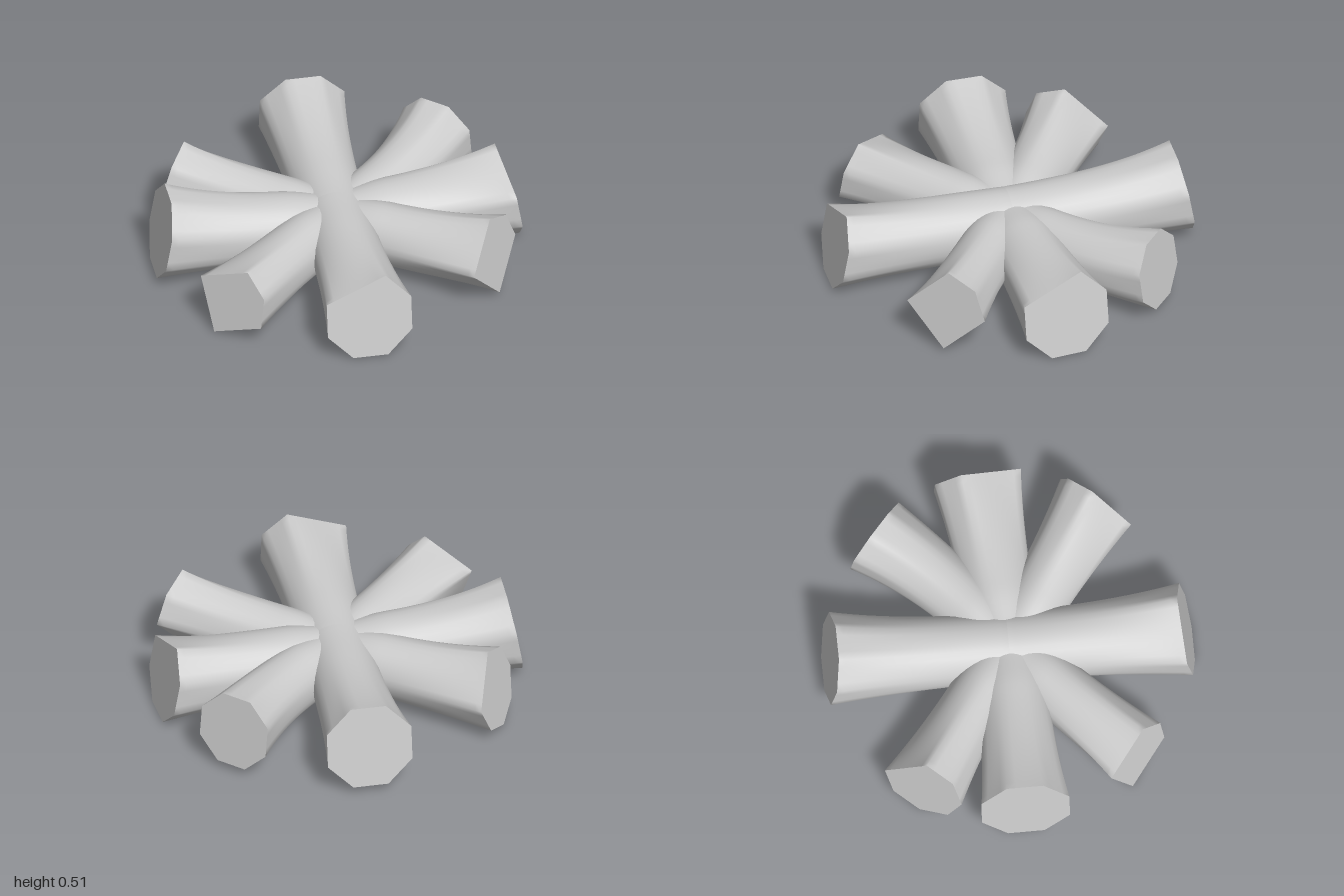
import * as THREE from 'three';

const SIDES = 32, RINGS = 24, PER = SIDES / 8;
const { lerp: mix, smoothstep } = THREE.MathUtils;

// End outline: an octagon in which some corners are cut away to a straight edge.
function endOutline(radius, phase, cut) {
  const corners = Array.from({ length: 8 }, (_, k) => {
    const a = phase + k * Math.PI / 4;
    return new THREE.Vector2(Math.cos(a), Math.sin(a)).multiplyScalar(radius);
  });
  const shaped = corners.map((c, k) => cut.includes(k)
    ? corners[(k + 7) % 8].clone().lerp(corners[(k + 1) % 8], 0.5) : c);
  return Array.from({ length: SIDES }, (_, i) => {
    const k = Math.floor(i / PER);
    return shaped[k].clone().lerp(shaped[(k + 1) % 8], (i % PER) / PER);
  });
}

// Rings run from a pinched core, through a round shaft, to the flared, tilted end outline.
function armGeometries(core, shaft, arm) {
  const phase = arm.pointUp ? 0 : Math.PI / 8;
  const outline = endOutline(arm.radius, phase, arm.cut ?? []);
  const bend = arm.bend ?? [0, 0];
  const pos = [], index = [];
  for (let j = 0; j <= RINGS; j++) {
    const t = j / RINGS, flare = Math.pow(t, 2.3);
    const grow = smoothstep(t, 0, 0.3), bow = 4 * t * (1 - t);
    const nx = mix(arm.axis[0], arm.face[0], t), nz = mix(arm.axis[1], arm.face[1], t);
    const n = new THREE.Vector3(nx, 0, nz).normalize();
    const cx = arm.end[0] * t + bend[0] * bow, cz = arm.end[2] * t + bend[1] * bow;
    const cy = mix(mix(core.y, shaft.y, grow), arm.end[1], flare);
    const rx = mix(core.rx, shaft.rx, grow), ry = mix(core.ry, shaft.ry, grow);
    for (let i = 0; i < SIDES; i++) {
      const a = phase + i * 2 * Math.PI / SIDES;
      const u = mix(rx * Math.cos(a), outline[i].x, flare);
      const v = mix(ry * Math.sin(a), outline[i].y, flare);
      const out = -v * (arm.tilt ?? 0.17) * t * t; // lower edge reaches further out
      pos.push(cx + n.z * u + n.x * out, cy + v, cz - n.x * u + n.z * out);
    }
  }
  for (let j = 0; j < RINGS; j++) {
    for (let i = 0; i < SIDES; i++) {
      const a = j * SIDES + i, b = j * SIDES + (i + 1) % SIDES;
      index.push(a, b, b + SIDES, a, b + SIDES, a + SIDES);
    }
  }
  const body = new THREE.BufferGeometry();
  body.setAttribute('position', new THREE.Float32BufferAttribute(pos, 3));
  body.setIndex(index);
  body.computeVertexNormals();

  // Flat cap as a fan around the end centre
  const cap = new THREE.BufferGeometry();
  const capIndex = [];
  for (let i = 0; i < SIDES; i++) capIndex.push(SIDES, i, (i + 1) % SIDES);
  cap.setAttribute('position', new THREE.Float32BufferAttribute(
    [...pos.slice(RINGS * SIDES * 3), ...arm.end], 3));
  cap.setIndex(capIndex);
  cap.computeVertexNormals();
  return { body, cap };
}

const DIAGONAL = {
  core: { y: 0.205, rx: 0.155, ry: 0.15 }, shaft: { y: 0.213, rx: 0.16, ry: 0.17 },
};

// Four crossing limbs, each with two arms. axis and face are (x, z) directions.
const LIMBS = [
  { core: { y: 0.225, rx: 0.185, ry: 0.175 }, shaft: { y: 0.22, rx: 0.187, ry: 0.185 },
    axis: [0, 1], arms: [
      { name: 'frontArm', end: [0, 0.245, 0.96], face: [0, 1], radius: 0.25, cut: [2] },
      { name: 'backArm', end: [0, 0.28, -0.96], face: [0, -1], radius: 0.25 }] },
  { core: { y: 0.2, rx: 0.17, ry: 0.165 }, shaft: { y: 0.215, rx: 0.185, ry: 0.18 },
    axis: [1, -0.04], arms: [
      { name: 'leftArm', end: [0.953, 0.245, -0.075], face: [0.99, -0.1], radius: 0.255, cut: [2] },
      { name: 'rightArm', end: [-0.957, 0.277, 0.005], face: [-1, 0], radius: 0.257 }] },
  { ...DIAGONAL, axis: [0.79, 0.6], arms: [
    { name: 'frontLeftArm', end: [0.765, 0.255, 0.545], face: [0.77, 0.64], radius: 0.23,
      pointUp: true, cut: [3, 5, 7], tilt: 0.13 },
    { name: 'backRightArm', end: [-0.77, 0.25, -0.53], face: [-0.86, -0.51], radius: 0.228,
      pointUp: true, cut: [3], tilt: 0.2 }] },
  { ...DIAGONAL, axis: [0.72, -0.69], arms: [
    { name: 'backLeftArm', end: [0.685, 0.255, -0.655], face: [0.66, -0.75], radius: 0.222,
      bend: [0.03, 0.03], tilt: 0.14 },
    { name: 'frontRightArm', end: [-0.695, 0.21, 0.635], face: [-0.7, 0.7], radius: 0.222,
      cut: [2, 4, 6] }] },
];

export function createModel() {
  const model = new THREE.Group();
  model.name = 'eightArmedStar';
  const material = new THREE.MeshStandardMaterial({ color: 0xcccccc });
  for (const limb of LIMBS) {
    limb.arms.forEach((arm, k) => {
      const axis = limb.axis.map((c) => (k ? -c : c));
      const { body, cap } = armGeometries(limb.core, limb.shaft, { ...arm, axis });
      const group = new THREE.Group();
      group.name = arm.name;
      const bodyMesh = new THREE.Mesh(body, material);
      bodyMesh.name = 'armBody';
      const capMesh = new THREE.Mesh(cap, material);
      capMesh.name = 'armEndFace';
      group.add(bodyMesh, capMesh);
      model.add(group);
    });
  }
  return model;
}
